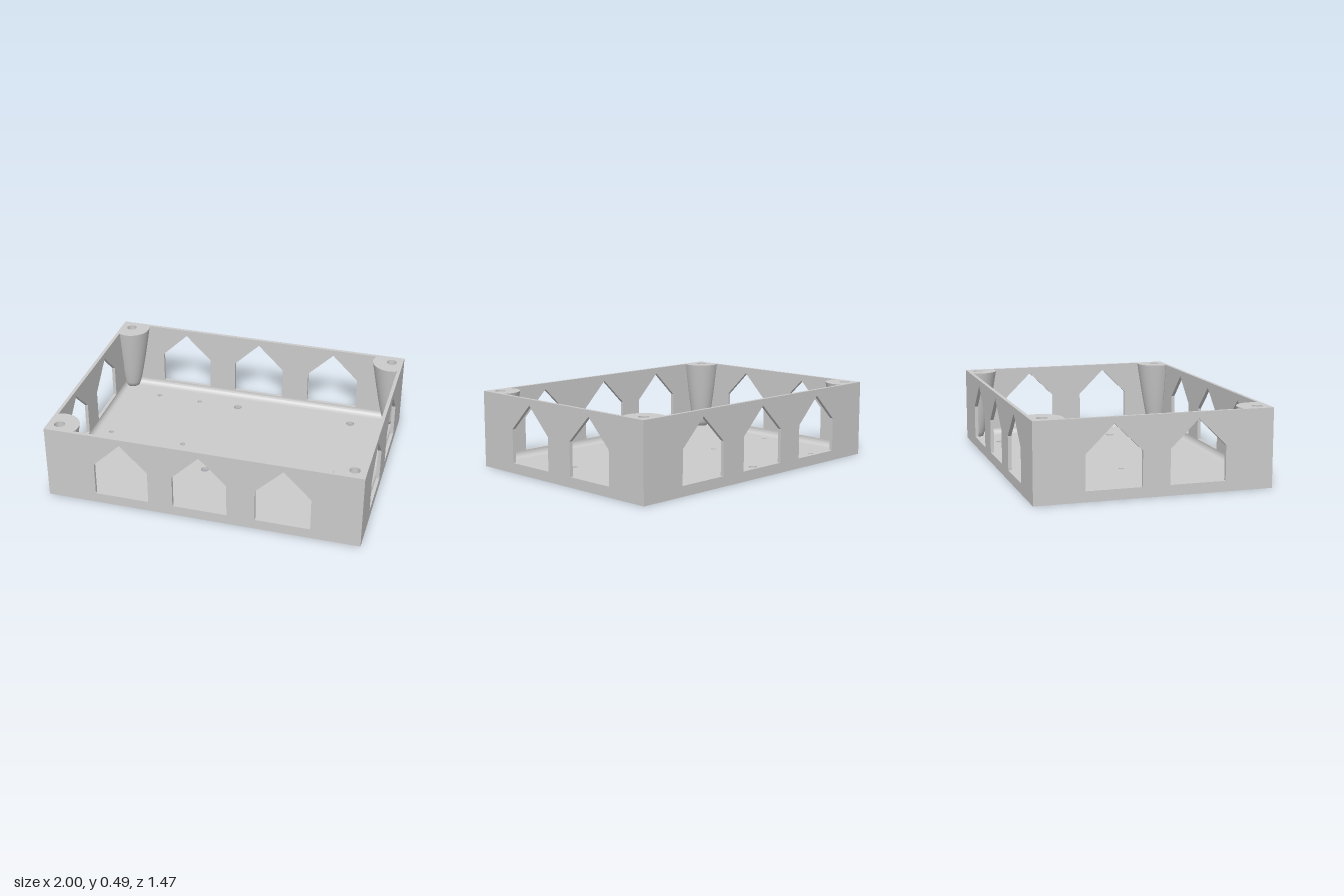
import * as THREE from 'three';
import { toCreasedNormals } from 'three/addons/utils/BufferGeometryUtils.js';
import { ParametricGeometry } from 'three/addons/geometries/ParametricGeometry.js';

const H = 0.49, W = 1, D = 0.735, T = 0.022; // height, half width, half depth, wall thickness
const IX = W - T, IZ = D - T;                // inner faces of the walls
const grey = new THREE.MeshStandardMaterial({ color: 0xcccccc });
const greyDouble = new THREE.MeshStandardMaterial({ color: 0xcccccc, side: THREE.DoubleSide });

function add(parent, name, geometry, material = grey) {
  const mesh = new THREE.Mesh(geometry, material);
  mesh.name = name;
  parent.add(mesh);
  return mesh;
}

function extrude(shape, depth, curveSegments = 24) {
  const g = new THREE.ExtrudeGeometry(shape, { depth, bevelEnabled: false, curveSegments });
  return toCreasedNormals(g, Math.PI / 5);
}

function polygon(points, Type = THREE.Shape) {
  return new Type(points.map(([x, y]) => new THREE.Vector2(x, y)));
}

// Upright wall centred on x, with house-shaped windows
function wallGeometry(half, centres) {
  const shape = polygon([[-half, 0], [half, 0], [half, H], [-half, H]]);
  const w = 0.173;
  for (const c of centres) {
    shape.holes.push(polygon(
      [[c - w, 0.065], [c - w, 0.28], [c, 0.45], [c + w, 0.28], [c + w, 0.065]], THREE.Path));
  }
  return extrude(shape, T);
}

// Floor plate with drilled holes: x, z, radius
function floorGeometry() {
  const shape = polygon([[-IX, -IZ], [IX, -IZ], [IX, IZ], [-IX, IZ]]);
  const big = 0.027, small = 0.017;
  const drills = [
    [-0.12, -0.56, big], [0.685, -0.56, big], [-0.12, 0.24, big], [0.685, 0.24, big],
    [-0.7, -0.565, small], [-0.4, -0.56, small], [-0.865, -0.02, small], [-0.35, -0.005, small],
  ];
  for (const [x, z, r] of drills) {
    shape.holes.push(new THREE.Path().absarc(x, z, r, 0, Math.PI * 2, true));
  }
  return extrude(shape, T).rotateX(Math.PI / 2).translate(0, T, 0);
}

// Concave rounding between floor and a wall
function filletGeometry(length) {
  const r = 0.04;
  const shape = new THREE.Shape().moveTo(0, 0).lineTo(r, 0);
  shape.absarc(r, r, r, -Math.PI / 2, -Math.PI, true);
  return extrude(shape, length, 8).translate(0, T, -length / 2);
}

// Screw boss that tapers down into its corner
function addBoss(parent, sx, sz) {
  const boss = new THREE.Group();
  boss.name = 'cornerBoss';
  parent.add(boss);
  const cx = 0.925, cz = 0.66, holeR = 0.033, holeDepth = 0.25;

  const point = (angle, t, target) => {
    const r = 0.05 + 0.075 * Math.pow(t, 0.75);
    const shift = 0.02 * (1 - t);
    const x = Math.min(cx + shift + r * Math.cos(angle), IX);
    const z = Math.min(cz + shift + r * Math.sin(angle), IZ);
    return target.set(sx * x, T + (H - T) * t, sz * z);
  };
  const side = new ParametricGeometry(
    (u, v, target) => point(-sx * sz * u * Math.PI * 2, v, target), 64, 14);
  add(boss, 'bossSide', side);

  // Top face with the screw hole
  const rim = [];
  const p = new THREE.Vector3();
  for (let i = 0; i < 64; i++) {
    point((i / 64) * Math.PI * 2, 1, p);
    rim.push([p.x, -p.z]);
  }
  const top = polygon(rim);
  top.holes.push(new THREE.Path().absarc(sx * cx, -sz * cz, holeR, 0, Math.PI * 2, true));
  add(boss, 'bossTop', new THREE.ShapeGeometry(top, 24).rotateX(-Math.PI / 2).translate(0, H, 0));

  const bore = new THREE.CylinderGeometry(holeR, holeR, holeDepth, 24, 1, true);
  add(boss, 'screwHole', bore, greyDouble).position.set(sx * cx, H - holeDepth / 2, sz * cz);
  const bottom = new THREE.CircleGeometry(holeR, 24).rotateX(-Math.PI / 2);
  add(boss, 'screwHoleBottom', bottom).position.set(sx * cx, H - holeDepth, sz * cz);
}

export function createModel() {
  const model = new THREE.Group();
  model.name = 'enclosureBase';

  add(model, 'floor', floorGeometry());

  // Long walls
  add(model, 'frontWall', wallGeometry(W, [-0.511, -0.007, 0.517])).position.z = IZ;
  add(model, 'backWall', wallGeometry(W, [-0.537, -0.01, 0.517])).position.z = -D;

  // Short walls: turned so that shape x runs along -z
  const left = add(model, 'leftWall', wallGeometry(IZ, [-0.274, 0.274]));
  left.rotation.y = Math.PI / 2;
  left.position.x = IX;
  const right = add(model, 'rightWall', wallGeometry(IZ, [-0.262, 0.253]));
  right.rotation.y = Math.PI / 2;
  right.position.x = -W;

  // Rounded inner edges along the floor
  for (let i = 0; i < 4; i++) {
    const along = i % 2 === 0;
    const pivot = new THREE.Group();
    pivot.name = 'floorFillet';
    pivot.rotation.y = (i * Math.PI) / 2;
    add(pivot, 'fillet', filletGeometry(along ? 2 * IZ : 2 * IX)).position.x = along ? -IX : -IZ;
    model.add(pivot);
  }

  for (const sx of [-1, 1]) for (const sz of [-1, 1]) addBoss(model, sx, sz);
  return model;
}
